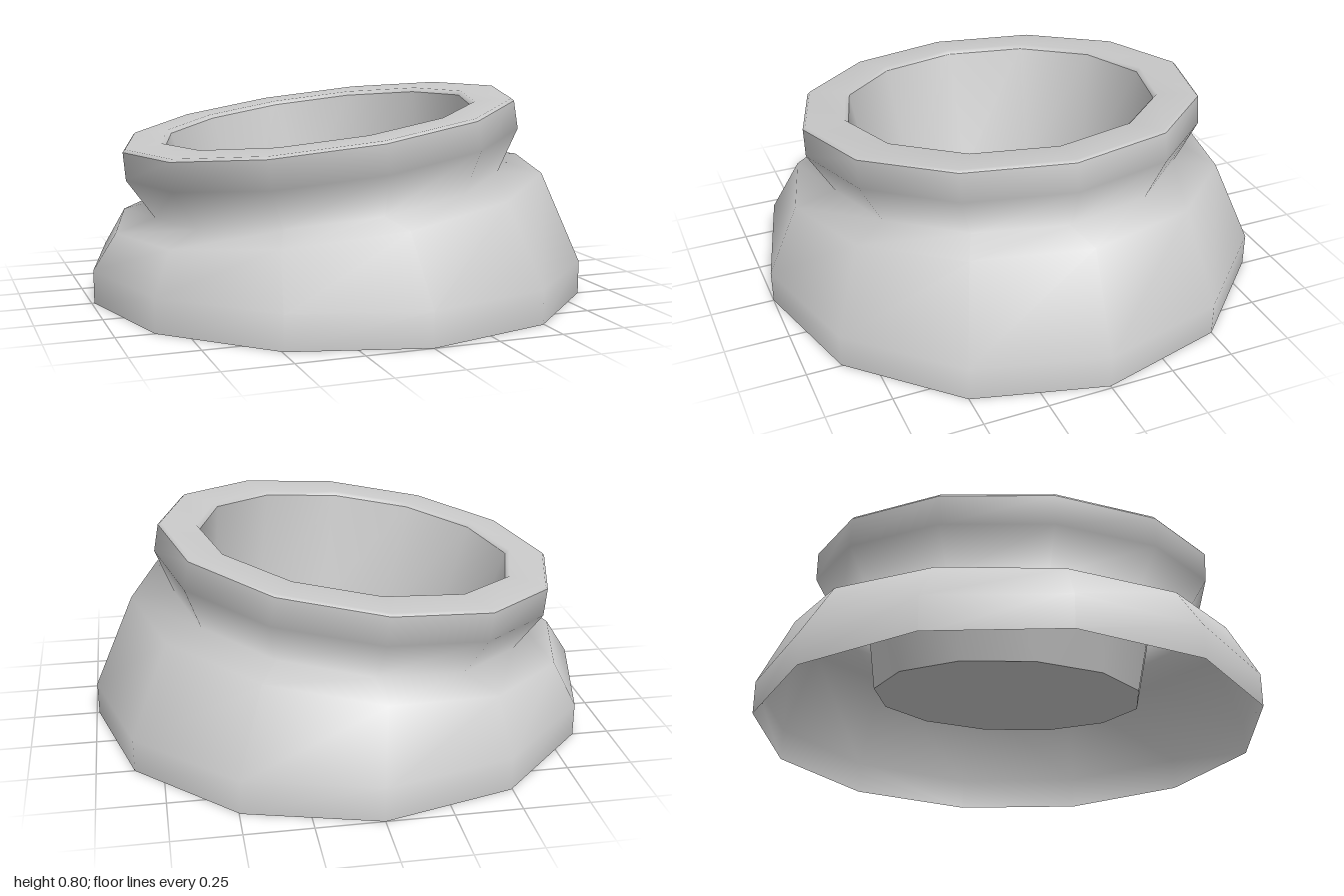
import * as THREE from 'three';

const SIDES = 12;
const SLOPE = 0.133; // the rim leans up towards +x
const TWIST = 0.03; // slight turn of the upper rings

const material = new THREE.MeshStandardMaterial({ color: 0xcccccc, side: THREE.DoubleSide });

// Each ring: [centre x, centre y, radius x, radius z, slope, twist]
function loft(name, rings) {
  const positions = [];
  const index = [];
  for (const [cx, cy, rx, rz, slope, twist] of rings) {
    for (let j = 0; j < SIDES; j++) {
      const a = (j / SIDES) * Math.PI * 2 + twist;
      const dx = rx * Math.cos(a);
      positions.push(cx + dx, cy + slope * dx, rz * Math.sin(a));
    }
  }
  for (let i = 0; i < rings.length - 1; i++) {
    for (let j = 0; j < SIDES; j++) {
      const k = (j + 1) % SIDES;
      const a = i * SIDES + j, b = i * SIDES + k;
      const c = a + SIDES, d = b + SIDES;
      index.push(a, c, b, b, c, d);
    }
  }
  const geometry = new THREE.BufferGeometry();
  geometry.setAttribute('position', new THREE.Float32BufferAttribute(positions, 3));
  geometry.setIndex(index);
  geometry.computeVertexNormals();
  const mesh = new THREE.Mesh(geometry, material);
  mesh.name = name;
  return mesh;
}

export function createModel() {
  const group = new THREE.Group();
  group.name = 'tiltedPot';

  const lipEdge = [-0.075, 0.685, 0.785, 0.8, SLOPE, TWIST];
  const rimOuter = [-0.076, 0.695, 0.775, 0.79, SLOPE, TWIST];
  const rimInner = [-0.075, 0.695, 0.635, 0.635, SLOPE, TWIST];
  const bowlBase = [0.025, 0.16, 0.54, 0.54, SLOPE, TWIST];

  // Open-bottomed base, pinched neck and flared lip
  group.add(loft('body', [
    [0, 0, 0.99, 1, 0, 0],
    [0, 0.13, 0.99, 1, 0, 0],
    [-0.035, 0.385, 0.865, 0.87, SLOPE, 0],
    [-0.04, 0.41, 0.7, 0.7, SLOPE, TWIST],
    [-0.06, 0.575, 0.79, 0.8, SLOPE, TWIST],
    lipEdge,
  ]));

  // Flat rim with small bevels on both edges
  group.add(loft('rim', [
    lipEdge,
    rimOuter,
    rimInner,
    [-0.073, 0.68, 0.62, 0.62, SLOPE, TWIST],
  ]));

  // Bowl hanging inside the base
  group.add(loft('bowlWall', [
    [-0.073, 0.68, 0.62, 0.62, SLOPE, TWIST],
    bowlBase,
  ]));
  group.add(loft('bowlFloor', [
    bowlBase,
    [0.025, 0.16, 0, 0, SLOPE, TWIST],
  ]));

  return group;
}
